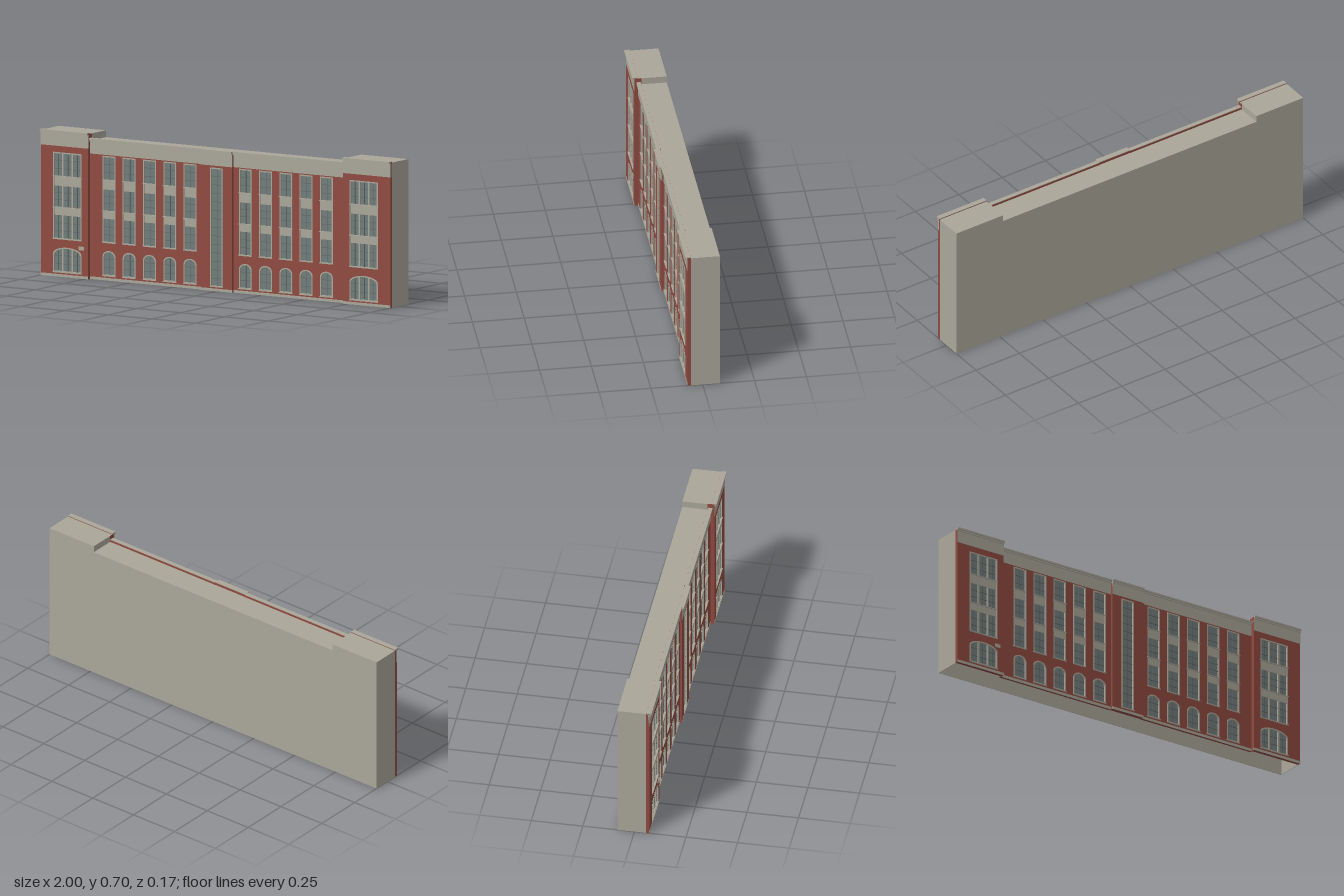
import * as THREE from 'three';

const mat = (name, color, side = THREE.FrontSide) => {
  const m = new THREE.MeshStandardMaterial({ color, side });
  m.name = name;
  return m;
};

export function createModel() {
  const stone = mat('stone', 0xaaa699);
  const brick = mat('brick', 0x8f4a40);
  const glass = mat('glass', 0x717d7b);
  const bars = mat('window bars', 0x5c6563);
  const model = new THREE.Group();
  model.name = 'building';

  // Box given by its limits on each axis
  const box = (parent, name, m, x0, x1, y0, y1, z0, z1) => {
    const mesh = new THREE.Mesh(new THREE.BoxGeometry(x1 - x0, y1 - y0, z1 - z0), m);
    mesh.position.set((x0 + x1) / 2, (y0 + y1) / 2, (z0 + z1) / 2);
    mesh.name = name;
    parent.add(mesh);
    return mesh;
  };
  const plate = (parent, name, m, shape, z0, z1) => {
    const g = new THREE.ExtrudeGeometry(shape, { depth: z1 - z0, bevelEnabled: false, curveSegments: 14 });
    g.translate(0, 0, z0);
    const mesh = new THREE.Mesh(g, m);
    mesh.name = name;
    parent.add(mesh);
  };

  // Opening outline, with an elliptical head when rise > 0; inset shrinks it
  const outline = (o, inset = 0, Type = THREE.Shape) => {
    const x0 = o.cx - o.w / 2 + inset, x1 = o.cx + o.w / 2 - inset;
    const y0 = o.y0 + inset, y1 = o.y1 - inset, s = new Type();
    s.moveTo(x0, y0);
    s.lineTo(x1, y0);
    if (o.rise) {
      s.lineTo(x1, y1 - o.rise);
      s.absellipse(o.cx, y1 - o.rise, (x1 - x0) / 2, o.rise, 0, Math.PI, false);
    } else {
      s.lineTo(x1, y1);
      s.lineTo(x0, y1);
    }
    s.closePath();
    return s;
  };
  const rect = (x0, x1, y0, y1) => outline({ cx: (x0 + x1) / 2, w: x1 - x0, y0, y1 });

  // Height of the opening at a given x, so bars stop at the arch
  const headAt = (o, x) => {
    if (!o.rise) return o.y1;
    const t = (x - o.cx) / (o.w / 2);
    return o.y1 - o.rise + o.rise * Math.sqrt(Math.max(0, 1 - t * t));
  };

  // Trim, glass, glazing bars, spandrels and sills of one opening
  const fillOpening = (parent, o, z0, z1) => {
    const win = new THREE.Group();
    win.name = 'window';
    parent.add(win);
    const zg = z1 - 0.007;
    const trim = outline(o);
    trim.holes.push(outline(o, 0.006, THREE.Path));
    plate(win, 'windowTrim', stone, trim, z0 + 0.002, z1 + 0.0012);
    plate(win, 'glassPane', glass, outline(o, 0.001), zg - 0.002, zg);
    const left = o.cx - o.w / 2, right = o.cx + o.w / 2;
    for (let i = 1; i < o.bays; i++) {
      const x = left + (o.w * i) / o.bays;
      box(win, 'mullion', stone, x - 0.004, x + 0.004, o.y0, headAt(o, x) - 0.002, zg, z1 - 0.001);
    }
    for (let i = 1; i < o.bays * o.cols; i++) {
      if (i % o.cols === 0) continue;
      const x = left + (o.w * i) / (o.bays * o.cols);
      box(win, 'verticalBar', bars, x - 0.0012, x + 0.0012, o.y0, headAt(o, x) - 0.003, zg, zg + 0.002);
    }
    for (const y of o.rows) {
      box(win, 'horizontalBar', bars, left + 0.005, right - 0.005, y - 0.0012, y + 0.0012, zg, zg + 0.002);
    }
    for (const [a, b] of o.spandrels || []) {
      box(win, 'spandrel', stone, left + 0.004, right - 0.004, a, b, zg - 0.001, z1 - 0.001);
    }
    for (const y of o.sills) {
      box(win, 'sill', stone, left - 0.002, right + 0.002, y - 0.002, y + 0.002, zg, z1 + 0.004);
    }
  };

  const upper = (cx, w, bays) => ({
    cx, w, y0: 0.18, y1: 0.6, bays, cols: 2,
    rows: [0.22, 0.258, 0.37, 0.405, 0.52, 0.56],
    spandrels: [[0.297, 0.335], [0.438, 0.484]], sills: [0.183, 0.334, 0.484],
  });
  const lower = (cx, w, bays, rise) => ({
    cx, w, y0: 0.022, y1: 0.143, rise, bays, cols: 2, rows: [0.062, 0.102], sills: [0.022],
  });

  // One stretch of facade: pierced brick wall, plinth, frieze and cornice
  const facade = (name, x0, x1, z0, z1, top, friezeY, openings) => {
    const g = new THREE.Group();
    g.name = name;
    model.add(g);
    const wall = rect(x0, x1, 0, top - 0.003);
    for (const o of openings) wall.holes.push(outline(o, 0, THREE.Path));
    plate(g, 'brickWall', brick, wall, z0, z1);
    box(g, 'plinth', stone, x0, x1, 0, 0.013, z1 - 0.002, z1 + 0.001);
    box(g, 'frieze', stone, x0, x1, friezeY, top - 0.008, z1 - 0.008, z1 + 0.001);
    box(g, 'corniceBed', stone, x0, x1, top - 0.016, top - 0.008, z1 - 0.006, z1 + 0.005);
    box(g, 'corniceCrown', stone, x0, x1, top - 0.008, top, z0 + 0.001, z1 + 0.01);
    for (const o of openings) fillOpening(g, o, z0, z1);
  };

  for (const s of [-1, 1]) {
    // End pavilions
    const px = [s * 0.73, s].sort((a, b) => a - b), pc = s * 0.848;
    facade('endPavilion', px[0], px[1], 0.057, 0.073, 0.705, 0.63,
      [upper(pc, 0.162, 3), lower(pc, 0.162, 3, 0.032)]);
    const e = s * 0.731;
    box(model, 'pavilionReturn', brick, e - 0.001, e + 0.001, 0, 0.7, 0.04, 0.0725);

    // Wings with five window columns
    const wx = [s * 0.09, s * 0.73].sort((a, b) => a - b);
    const openings = [];
    for (let i = 0; i < 5; i++) {
      const cx = s * (0.158 + i * 0.116);
      openings.push(upper(cx, 0.074, 1), lower(cx, 0.074, 1, 0.028));
    }
    facade('wing', wx[0], wx[1], 0.042, 0.054, 0.68, 0.605, openings);
  }

  // Central stair bay with one tall window
  facade('centreBay', -0.09, 0.09, 0.045, 0.065, 0.68, 0.605, [{
    cx: 0, w: 0.072, y0: 0.02, y1: 0.595, bays: 1, cols: 2, sills: [0.022],
    rows: Array.from({ length: 13 }, (_, i) => 0.061 + i * 0.041),
  }]);

  // Small bracket beside the left-hand arch
  box(model, 'wallBracket', stone, -0.782, -0.752, 0.137, 0.155, 0.072, 0.076);

  // Plain rear shell, open underneath
  const shell = new THREE.Group();
  shell.name = 'rearShell';
  model.add(shell);
  const back = new THREE.Shape([
    [-1, 0], [1, 0], [1, 0.7], [0.73, 0.7], [0.73, 0.667],
    [-0.73, 0.667], [-0.73, 0.7], [-1, 0.7],
  ].map(([x, y]) => new THREE.Vector2(x, y)));
  plate(shell, 'backWall', stone, back, -0.083, -0.081);
  box(shell, 'centreRoof', stone, -0.73, 0.73, 0.665, 0.667, -0.082, 0.043);
  for (const s of [-1, 1]) {
    const c = s * 0.865;
    box(shell, 'pavilionRoof', stone, c - 0.135, c + 0.135, 0.698, 0.7, -0.082, 0.058);
    box(shell, 'sideWall', stone, s * 0.999 - 0.001, s * 0.999 + 0.001, 0, 0.699, -0.082, 0.057);
    box(shell, 'roofStep', stone, s * 0.731 - 0.001, s * 0.731 + 0.001, 0.66, 0.699, -0.082, 0.04);
  }
  return model;
}
